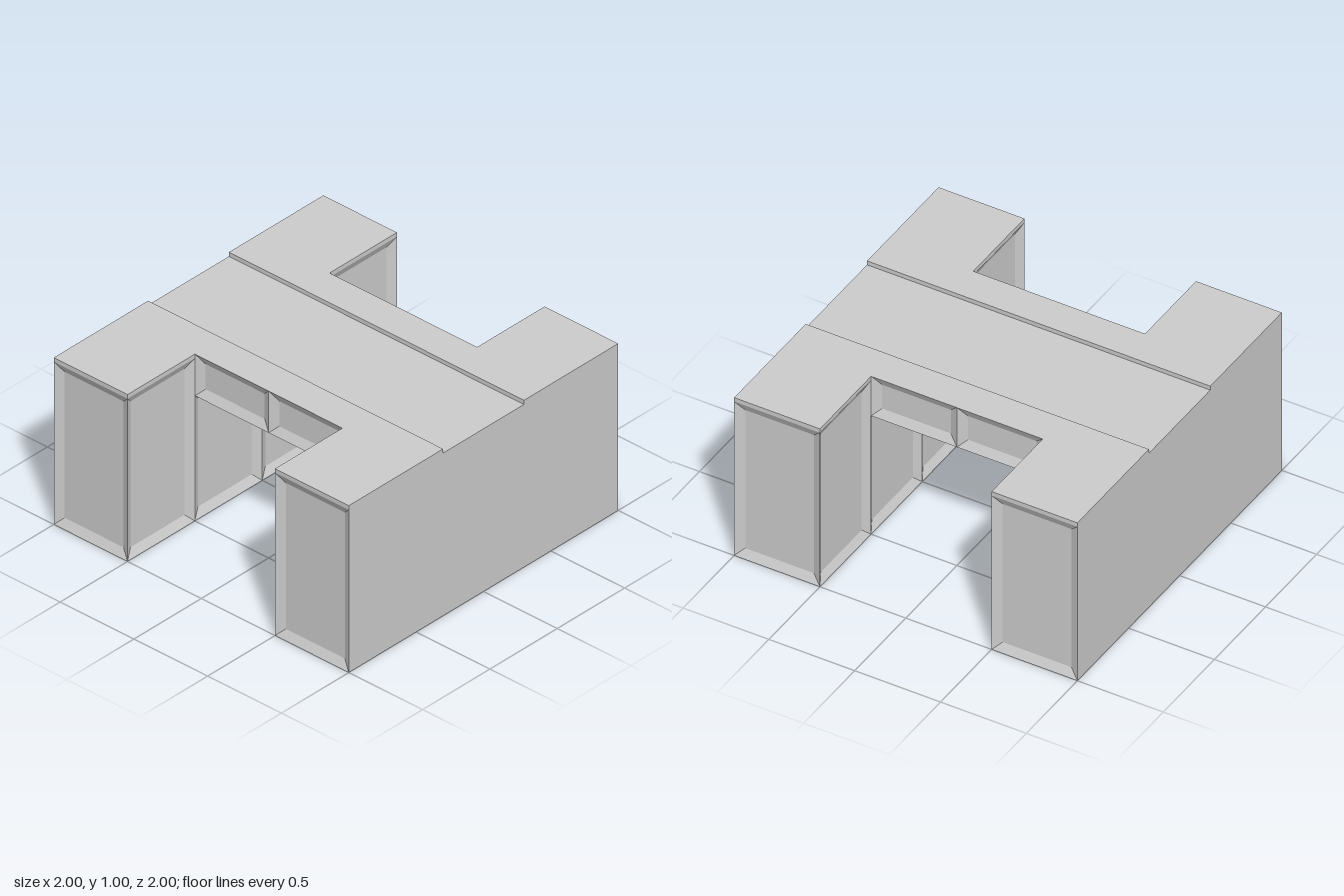
import * as THREE from 'three';

const BEVEL = 0.05, DEPTH = 0.025, STEP = 0.025;
const material = new THREE.MeshStandardMaterial({ color: 0xcccccc, flatShading: true });

function add(parent, name, geometry, position, rotation = [0, 0, 0]) {
  const mesh = new THREE.Mesh(geometry, material);
  mesh.name = name;
  mesh.position.set(...position);
  mesh.rotation.set(...rotation);
  parent.add(mesh);
  return mesh;
}

// Sunken panel facing +z: four sloping edges around a flat field
function panelGeometry(w, h) {
  const ring = (x, y, z) => [[-x, -y, z], [x, -y, z], [x, y, z], [-x, y, z]];
  const outer = ring(w / 2, h / 2, 0);
  const inner = ring(w / 2 - BEVEL, h / 2 - BEVEL, -DEPTH);
  const points = [];
  const quad = (a, b, c, d) => points.push(...a, ...b, ...c, ...a, ...c, ...d);
  for (let i = 0; i < 4; i++) {
    const j = (i + 1) % 4;
    quad(outer[i], outer[j], inner[j], inner[i]);
  }
  quad(...inner);
  const geometry = new THREE.BufferGeometry();
  geometry.setAttribute('position', new THREE.Float32BufferAttribute(points, 3));
  geometry.computeVertexNormals();
  return geometry;
}

// Long wall block on the +z side
function createWall() {
  const wall = new THREE.Group();
  const h = 1 - STEP;
  add(wall, 'outerFace', new THREE.PlaneGeometry(2, h), [0, h / 2, 1]);
  add(wall, 'wallBottom', new THREE.PlaneGeometry(2, 0.5), [0, 0, 0.75], [Math.PI / 2, 0, 0]);
  for (const s of [-1, 1]) {
    add(wall, 'endPanel', panelGeometry(0.5, h), [s, h / 2, 0.75], [0, s * Math.PI / 2, 0]);
    add(wall, 'innerPanel', panelGeometry(0.5, h), [s * 0.75, h / 2, 0.5], [0, Math.PI, 0]);
    add(wall, 'innerPanelUnderBridge', panelGeometry(0.5, 0.75), [s * 0.25, 0.375, 0.5], [0, Math.PI, 0]);
    add(wall, 'topSlab', new THREE.BoxGeometry(0.7, STEP, 0.5), [s * 0.65, 1 - STEP / 2, 0.75]);
  }
  return wall;
}

// Bridge joining the two walls
function createBridge() {
  const bridge = new THREE.Group();
  bridge.name = 'bridge';
  add(bridge, 'bridgeUnderside', new THREE.PlaneGeometry(1, 1), [0, 0.75, 0], [Math.PI / 2, 0, 0]);
  for (const s of [-1, 1]) {
    add(bridge, 'bridgeTop', new THREE.PlaneGeometry(0.2, 1), [s * 0.4, 1, 0], [-Math.PI / 2, 0, 0]);
    add(bridge, 'channelStep', new THREE.PlaneGeometry(1, STEP), [s * 0.3, 1 - STEP / 2, 0], [0, -s * Math.PI / 2, 0]);
    for (const z of [-0.25, 0.25]) {
      add(bridge, 'bridgeSidePanel', panelGeometry(0.5, 0.25), [s * 0.5, 0.875, z], [0, s * Math.PI / 2, 0]);
    }
  }
  return bridge;
}

export function createModel() {
  const model = new THREE.Group();
  model.name = 'walkwayBlock';
  const front = createWall();
  front.name = 'frontWall';
  const back = createWall();
  back.name = 'backWall';
  back.rotation.y = Math.PI;
  model.add(front, back, createBridge());

  // Shallow channel running across the whole top
  add(model, 'channelFloor', new THREE.PlaneGeometry(0.6, 2), [0, 1 - STEP, 0], [-Math.PI / 2, 0, 0]);
  return model;
}
